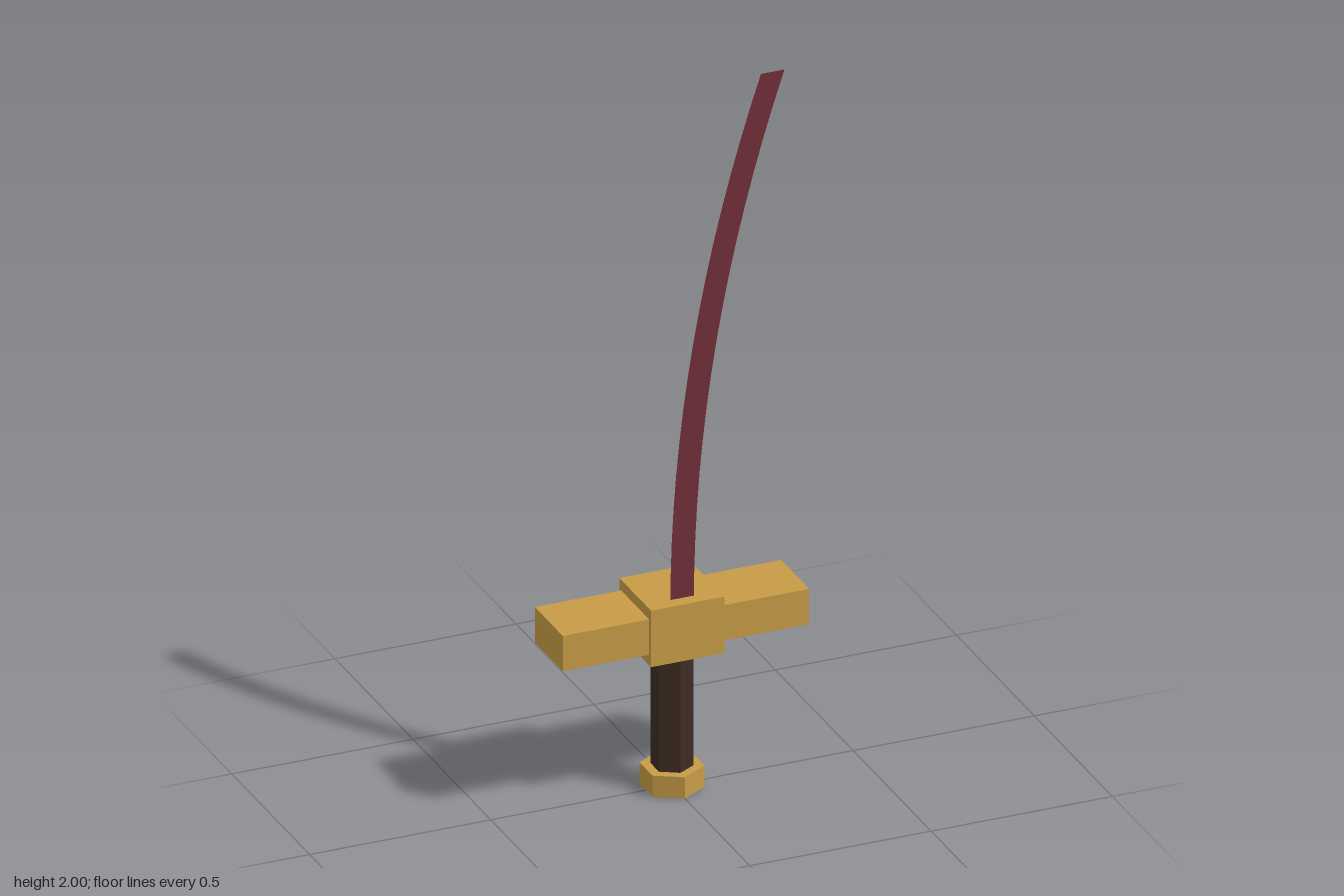
import * as THREE from 'three';

const material = (name, color, extra = {}) => {
  const m = new THREE.MeshStandardMaterial({ color, ...extra });
  m.name = name;
  return m;
};

export function createModel() {
  const gold = material('gold', 0xc69b46, { flatShading: true });
  const grip = material('darkWood', 0x3d2d23, { flatShading: true });
  const wine = material('wineSteel', 0x722f38, { side: THREE.DoubleSide });

  const model = new THREE.Group();
  model.name = 'sword';
  const add = (name, geometry, mat, y, z = 0) => {
    const mesh = new THREE.Mesh(geometry, mat);
    mesh.name = name;
    mesh.position.set(0, y, z);
    model.add(mesh);
  };

  // Hexagonal pommel and grip
  add('pommel', new THREE.CylinderGeometry(0.083, 0.083, 0.06, 6), gold, 0.03);
  add('grip', new THREE.CylinderGeometry(0.055, 0.055, 0.36, 6), grip, 0.23);

  // Guard block with a straight crossbar through it
  add('guardBlock', new THREE.BoxGeometry(0.203, 0.16, 0.203), gold, 0.48);
  add('crossbar', new THREE.BoxGeometry(0.68, 0.1, 0.18), gold, 0.48);

  // Flat curved blade: a sheet whose rows shift sideways along a parabola
  const bottom = 0.54, height = 2 - bottom;
  const blade = new THREE.PlaneGeometry(0.065, height, 1, 16);
  blade.translate(0, height / 2, 0);
  const p = blade.attributes.position;
  for (let i = 0; i < p.count; i++) {
    const t = p.getY(i) / height;
    p.setX(i, p.getX(i) + 0.25 * t * t);
  }
  add('blade', blade, wine, bottom, 0.065);

  return model;
}
